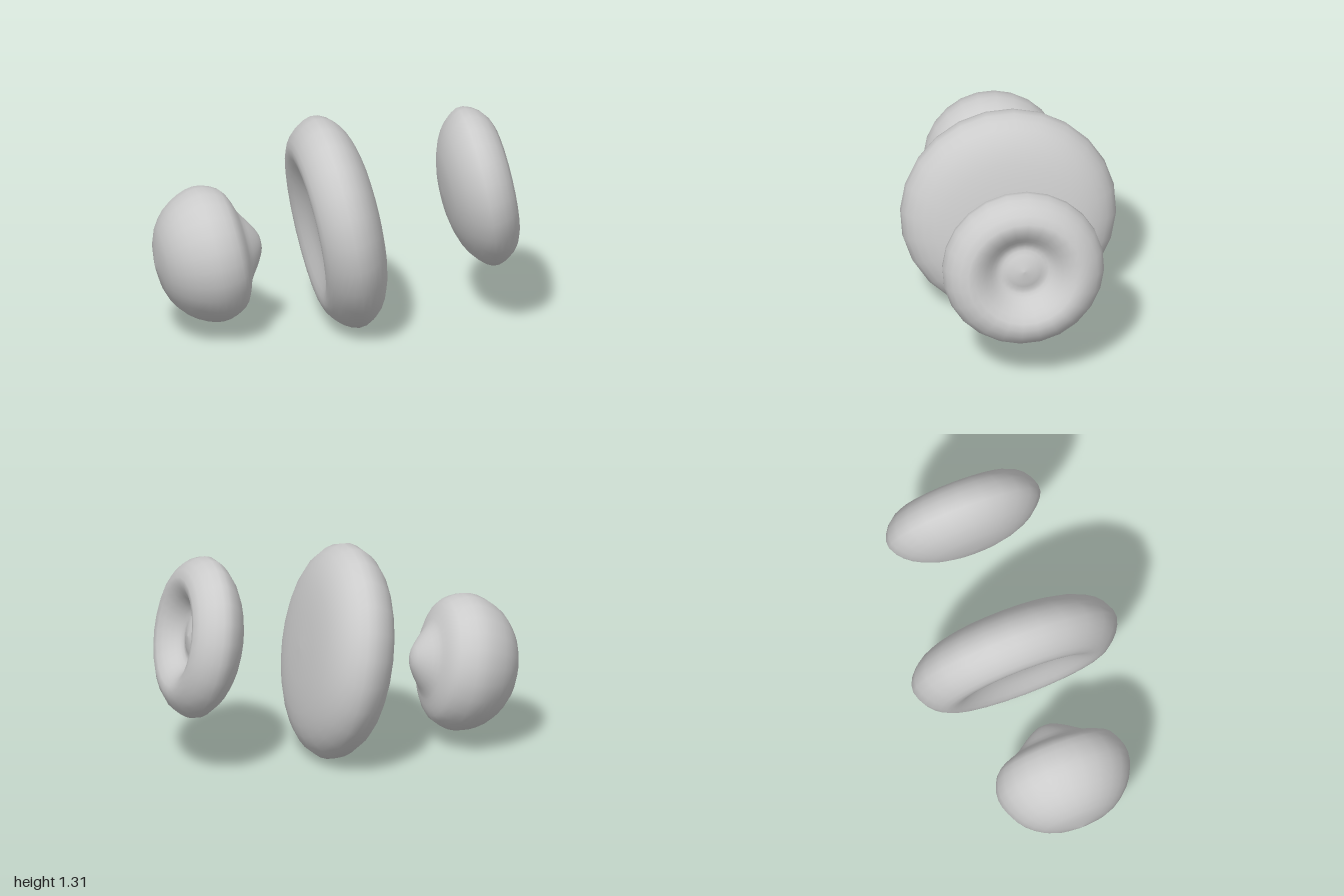
import * as THREE from 'three';

// Shared direction of the three discs: back faces look along this axis
const TILT = THREE.MathUtils.degToRad(10);
const TURN = THREE.MathUtils.degToRad(49);
const AXIS = new THREE.Vector3(
  Math.cos(TILT) * Math.cos(TURN), Math.sin(TILT), -Math.cos(TILT) * Math.sin(TURN));

// Each profile runs [radius, distance along axis] from the front centre to the back centre
const CELLS = [
  { // domed front, blunt nipple on the back
    name: 'smallNippledCell', position: [-0.55, 0.505, 0.62],
    profile: [[0, -0.36], [0.19, -0.325], [0.325, -0.235], [0.4, -0.115], [0.42, 0],
      [0.375, 0.115], [0.3, 0.165], [0.22, 0.195], [0.14, 0.25], [0.06, 0.295], [0, 0.305]],
  },
  { // shallow dished front, domed back
    name: 'largeDishedCell', position: [-0.045, 0.65, 0.025],
    profile: [[0, -0.1], [0.2, -0.115], [0.33, -0.155], [0.44, -0.195], [0.53, -0.185],
      [0.62, -0.11], [0.66, 0], [0.6, 0.11], [0.46, 0.185], [0.25, 0.22], [0, 0.23]],
  },
  { // domed front, hollow with a broad low bump on the back
    name: 'hollowCell', position: [0.52, 0.815, -0.615],
    profile: [[0, -0.21], [0.2, -0.195], [0.36, -0.14], [0.46, -0.06], [0.495, 0.02],
      [0.45, 0.12], [0.35, 0.18], [0.26, 0.145], [0.19, 0.08], [0.14, 0.055], [0.08, 0.075], [0, 0.09]],
  },
];

function makeCell({ name, position, profile }) {
  const curve = new THREE.SplineCurve(profile.map(([r, a]) => new THREE.Vector2(r, a)));
  const points = curve.getPoints(24);
  points.forEach((p) => { p.x = Math.max(p.x, 0); });
  const mesh = new THREE.Mesh(
    new THREE.LatheGeometry(points, 24),
    new THREE.MeshStandardMaterial({ color: 0xcccccc }));
  mesh.name = name;
  mesh.position.set(...position);
  mesh.quaternion.setFromUnitVectors(new THREE.Vector3(0, 1, 0), AXIS);
  return mesh;
}

export function createModel() {
  const group = new THREE.Group();
  group.name = 'cells';
  CELLS.forEach((cell) => group.add(makeCell(cell)));
  return group;
}
